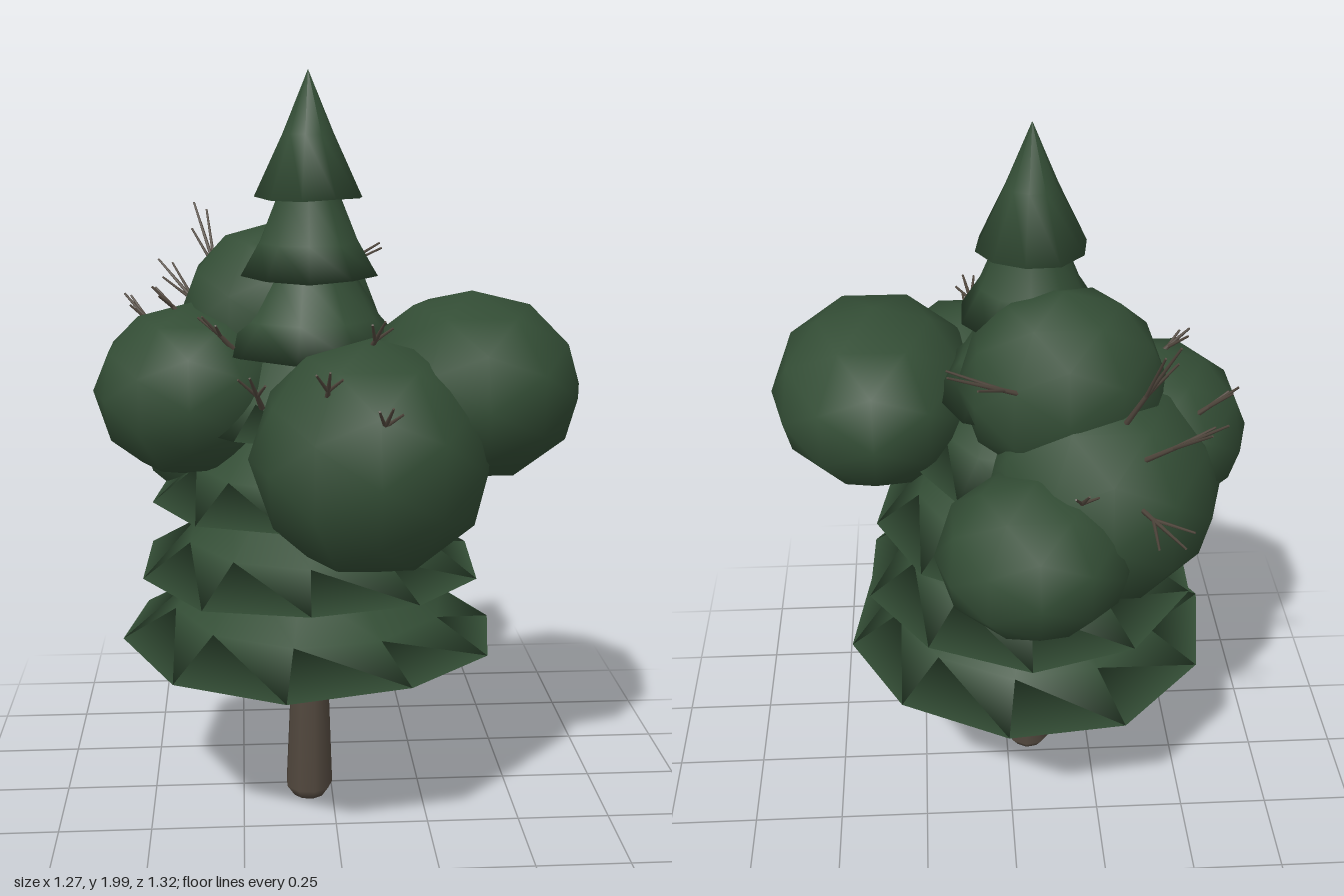
import * as THREE from 'three';

const AX = -0.06, AZ = 0.035; // tree axis
const UP = new THREE.Vector3(0, 1, 0);

export function createModel() {
  const tree = new THREE.Group();
  tree.name = 'tree';
  const foliage = new THREE.MeshStandardMaterial({ color: 0x334d35 });
  foliage.name = 'foliageGreen';
  const bark = new THREE.MeshStandardMaterial({ color: 0x52483e });
  bark.name = 'barkBrown';

  const add = (parent, name, geometry, material) => {
    const mesh = new THREE.Mesh(geometry, material);
    mesh.name = name;
    parent.add(mesh);
    return mesh;
  };
  const group = (parent, name) => {
    const g = new THREE.Group();
    g.name = name;
    parent.add(g);
    return g;
  };
  const lathe = (pts, sides, start) =>
    new THREE.LatheGeometry(pts.map(([r, y]) => new THREE.Vector2(r, y)), sides, start);

  // Trunk: flared at the foot, leaning slightly
  const trunk = lathe([[0.001, 0.01], [0.045, 0.01], [0.066, 0.04], [0.047, 0.5], [0.01, 1.8]], 9, 0.2);
  const tp = trunk.attributes.position;
  for (let i = 0; i < tp.count; i++) {
    const low = Math.max(0, 1 - tp.getY(i) / 0.7);
    tp.setX(i, tp.getX(i) - 0.006 * low);
    tp.setZ(i, tp.getZ(i) + 0.025 * low);
  }
  add(tree, 'trunk', trunk, bark).position.set(AX, 0, AZ);

  // Stacked skirts of needles, one rim radius per tier; normals stay smooth over the rim
  const tiers = group(tree, 'needleTiers');
  const rims = [0.515, 0.465, 0.425, 0.325, 0.26, 0.185, 0.143];
  rims.forEach((r, i) => {
    const y = 0.5 + 0.197 * i;
    const upper = i === rims.length - 1
      ? [[r * 0.47, y + 0.16], [0.0005, 2]]
      : [[r * 0.72, y + 0.085], [r * 0.46, y + 0.2], [0.03, y + 0.36]];
    const tier = lathe([[0.03, y + 0.025], [r, y], ...upper], 10, -0.157 + (i % 2) * 0.12);
    // Uneven rim
    const p = tier.attributes.position;
    for (let k = 0; k < p.count; k++) {
      if (Math.abs(p.getY(k) - y) > 0.001) continue;
      const a = Math.atan2(p.getX(k), p.getZ(k));
      p.setY(k, y + 0.02 * r * Math.sin(a * 3 + i));
    }
    // The upper two tiers sit a little further forward
    add(tiers, 'tier' + (i + 1), tier, foliage).position.set(AX, 0, i === 5 ? AZ + 0.025 : AZ);
  });

  // Rounded leaf clumps
  const clumps = group(tree, 'leafClumps');
  const clump = (name, x, y, z, rx, ry, rz) => {
    const mesh = add(clumps, name, new THREE.IcosahedronGeometry(1.02, 1), foliage);
    mesh.position.set(x, y, z);
    mesh.scale.set(rx, ry, rz);
  };
  clump('leftClump', 0.35, 1.21, 0.17, 0.28, 0.24, 0.335);
  clump('frontClump', 0.08, 1.065, 0.345, 0.3, 0.295, 0.305);
  clump('rightClump', -0.37, 1.17, 0, 0.26, 0.23, 0.265);
  clump('backClump', -0.05, 1.015, -0.35, 0.25, 0.21, 0.24);
  clump('backRightClump', -0.235, 1.085, -0.16, 0.305, 0.305, 0.3);
  clump('upperClump', -0.135, 1.355, -0.08, 0.265, 0.25, 0.23);

  // Bare twigs: a stem that forks into one main and two side shoots
  const twigs = group(tree, 'twigs');
  const stick = (parent, name, from, to, r0, r1) => {
    const dir = to.clone().sub(from);
    const g = new THREE.CylinderGeometry(r1, r0, dir.length(), 5);
    g.translate(0, dir.length() / 2, 0);
    const mesh = add(parent, name, g, bark);
    mesh.position.copy(from);
    mesh.quaternion.setFromUnitVectors(UP, dir.normalize());
  };
  const growTwig = (name, root, tip, spread) => {
    const twig = group(twigs, name);
    const fork = root.clone().lerp(tip, 0.4);
    const side = tip.clone().sub(root).cross(UP).multiplyScalar(spread);
    stick(twig, 'stem', root, fork, 0.008, 0.006);
    stick(twig, 'mainShoot', fork, tip, 0.006, 0.003);
    for (const s of [-1, 1]) {
      const end = root.clone().lerp(tip, 0.85 + 0.08 * s).addScaledVector(side, s);
      stick(twig, 'sideShoot', fork, end, 0.005, 0.003);
    }
  };

  // Long twigs: root and tip
  const longTwig = (x, y, z, tx, ty, tz) =>
    growTwig('longTwig', new THREE.Vector3(x, y, z), new THREE.Vector3(tx, ty, tz), 0.18);
  longTwig(-0.29, 1.17, -0.36, -0.37, 1.24, -0.66);
  longTwig(-0.3, 1.27, -0.34, -0.48, 1.46, -0.49);
  longTwig(-0.27, 1.33, -0.27, -0.37, 1.63, -0.43);
  longTwig(-0.45, 1.28, -0.16, -0.56, 1.4, -0.21);
  longTwig(-0.07, 1.4, -0.24, 0.16, 1.52, -0.34);

  // Short twigs grow up and away from the tree axis
  [
    [-0.38, 1.36, 0.02], [-0.15, 1.17, -0.38], [0.07, 1.33, 0.35], [0.08, 1.17, 0.57],
    [-0.04, 1.24, 0.5], [-0.19, 1.21, 0.41], [-0.26, 1.31, 0.16],
  ].forEach(([x, y, z]) => {
    const root = new THREE.Vector3(x, y, z);
    const out = new THREE.Vector3(x - AX, 0, z - AZ).normalize().add(UP);
    growTwig('shortTwig', root, root.clone().addScaledVector(out, 0.09), 0.35);
  });

  return tree;
}
